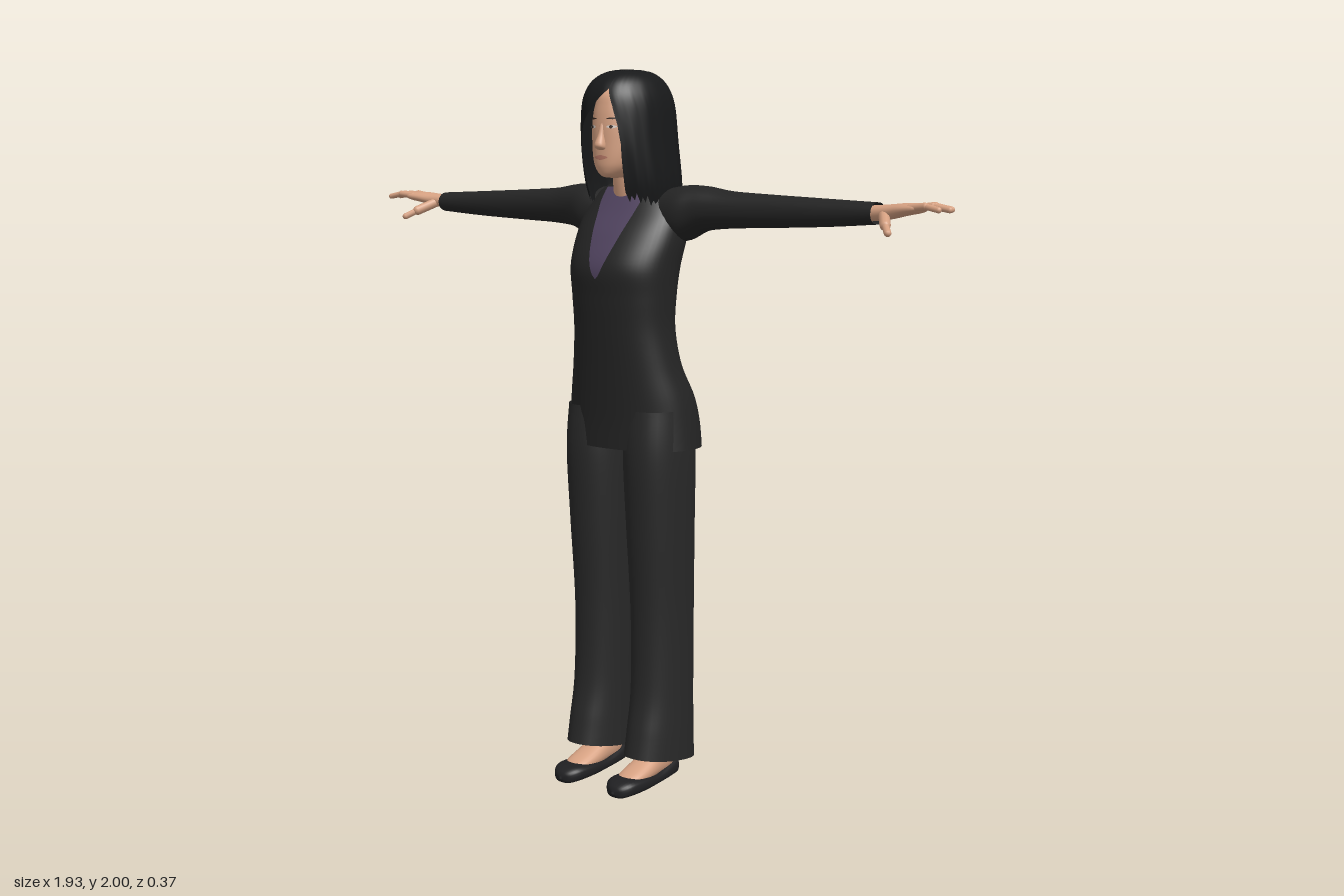
import * as THREE from 'three';

const material = (name, color, side = THREE.FrontSide) => {
  const m = new THREE.MeshStandardMaterial({ color, side });
  m.name = name;
  return m;
};

// Surface from fn(u, v) -> [x, y, z]; u runs left to right, v runs downwards
function grid(fn, nu, nv, closed = false) {
  const pos = [], index = [], cols = closed ? nu : nu + 1;
  for (let j = 0; j <= nv; j++)
    for (let i = 0; i < cols; i++) pos.push(...fn(i / nu, j / nv));
  for (let j = 0; j < nv; j++)
    for (let i = 0; i < nu; i++) {
      const k = (i + 1) % cols, a = j * cols + i, c = j * cols + k;
      index.push(a, a + cols, c + cols, a, c + cols, c);
    }
  const g = new THREE.BufferGeometry();
  g.setAttribute('position', new THREE.Float32BufferAttribute(pos, 3));
  g.setIndex(index);
  g.computeVertexNormals();
  return g;
}

// Cross-section keys are [height, half width, front, back, centre x], top to bottom
function sample(keys, t) {
  const n = keys.length - 1, s = Math.min(t * n, n - 1e-6), i = Math.floor(s), f = s - i;
  const k = (j) => keys[Math.max(0, Math.min(n, j))];
  return [0, 1, 2, 3, 4].map((c) => {
    const [a, b, d, e] = [k(i - 1), k(i), k(i + 1), k(i + 2)].map((r) => r[c] ?? 0);
    return b + 0.5 * f * (d - a + f * (2 * a - 5 * b + 4 * d - e + f * (3 * (b - d) + e - a)));
  });
}

function rowAt(keys, y) {
  let lo = 0, hi = 1;
  for (let i = 0; i < 24; i++) {
    const mid = (lo + hi) / 2;
    if (sample(keys, mid)[0] > y) lo = mid; else hi = mid;
  }
  return sample(keys, hi);
}

const P = 2.2;
const bend = (s, p) => Math.sign(s) * Math.abs(s) ** (2 / p);
function sectionPoint([y, hx, zf, zb, cx], phi, p = P) {
  return [cx + hx * bend(Math.sin(phi), p), y, (zf + zb) / 2 + ((zf - zb) / 2) * bend(Math.cos(phi), p)];
}

const loft = (keys, nu = 40, nv = 36, p = P) =>
  grid((u, v) => sectionPoint(sample(keys, v), u * Math.PI * 2, p), nu, nv, true);

// Thin plate lying on the front of a lofted body
function patch(keys, top, bottom, left, right, lift, nv = 8) {
  return grid((u, v) => {
    const y = top + (bottom - top) * v, x = left(v) + (right(v) - left(v)) * u;
    const [, hx, zf, zb] = rowAt(keys, y);
    const q = Math.max(0, 1 - Math.min(1, Math.abs(x) / hx) ** P) ** (1 / P);
    return [x, y, (zf + zb) / 2 + ((zf - zb) / 2) * q + lift];
  }, 10, nv);
}
const oval = (keys, x, y, w, h, lift) => patch(keys, y + h, y - h,
  (v) => x - w * Math.sin(Math.PI * v), (v) => x + w * Math.sin(Math.PI * v), lift);

function limb(from, to, radius) {
  const a = new THREE.Vector3(...from), d = new THREE.Vector3(...to).sub(a);
  const g = new THREE.CapsuleGeometry(radius, d.length(), 5, 10);
  g.applyQuaternion(new THREE.Quaternion().setFromUnitVectors(new THREE.Vector3(0, 1, 0), d.clone().normalize()));
  a.addScaledVector(d, 0.5);
  return g.translate(a.x, a.y, a.z);
}

function mirrored(geometry) {
  const g = geometry.clone().scale(-1, 1, 1), a = g.index.array;
  for (let i = 0; i < a.length; i += 3) [a[i], a[i + 1]] = [a[i + 1], a[i]];
  return g;
}

const TORSO = [
  [1.70, 0.07, 0.0, -0.10], [1.67, 0.125, 0.02, -0.13], [1.62, 0.16, 0.052, -0.14],
  [1.55, 0.165, 0.1, -0.135], [1.47, 0.158, 0.138, -0.118], [1.39, 0.152, 0.134, -0.104],
  [1.30, 0.15, 0.125, -0.098], [1.20, 0.164, 0.115, -0.112], [1.11, 0.187, 0.107, -0.153],
  [1.04, 0.198, 0.102, -0.168], [0.97, 0.205, 0.1, -0.17]];
const HEAD = [
  [1.965, 0.01, 0.02, -0.04], [1.94, 0.05, 0.09, -0.09], [1.9, 0.07, 0.108, -0.11],
  [1.85, 0.076, 0.115, -0.115], [1.8, 0.073, 0.116, -0.1], [1.76, 0.062, 0.116, -0.06],
  [1.735, 0.048, 0.113, -0.03], [1.715, 0.025, 0.102, 0.0], [1.71, 0.004, 0.07, 0.04]];
const HAIR = [
  [2.0, 0.002, 0.0, -0.01], [1.996, 0.04, 0.05, -0.07], [1.98, 0.073, 0.092, -0.103],
  [1.95, 0.096, 0.122, -0.13], [1.9, 0.111, 0.137, -0.147], [1.8, 0.118, 0.134, -0.157],
  [1.7, 0.122, 0.112, -0.167], [1.63, 0.112, 0.09, -0.176], [1.53, 0.095, 0.07, -0.182]];

// Hair parts around the face: [height, right edge, left edge]
const PARTING = [[1.945, 0.03, 0.03], [1.9, -0.012, 0.047], [1.85, -0.058, 0.06],
  [1.8, -0.072, 0.066], [1.72, -0.07, 0.064], [1.6, -0.06, 0.058]];
function parting(y) {
  if (y >= PARTING[0][0]) return [0.03, 0.03];
  let i = 0;
  while (i < PARTING.length - 2 && PARTING[i + 1][0] > y) i++;
  const a = PARTING[i], b = PARTING[i + 1], t = Math.min(1, (a[0] - y) / (a[0] - b[0]));
  return [a[1] + (b[1] - a[1]) * t, a[2] + (b[2] - a[2]) * t];
}
function hairPoint(u, v) {
  const around = u * Math.PI * 2, col = Math.round(u * 84);
  const strand = [0.012, -0.014, 0.004, -0.008][col % 4];
  const bottom = 1.61 + 0.05 * Math.cos(around) + strand;
  const y = 2 - (2 - bottom) * v ** 1.4;
  const row = rowAt(HAIR, y), [l, r] = parting(y);
  const edge = (x) => Math.asin(Math.max(-1, Math.min(1, bend(x / row[1], 4 / (P) * 1))));
  const start = edge(r), end = Math.PI * 2 + edge(l);
  const phi = start + (end - start) * u, k = 1 + 0.012 * Math.sin(phi * 17) * v;
  const p = sectionPoint(row, phi);
  return [p[0] * k, y, p[2] * k];
}

export function createModel() {
  const jacket = material('jacket cloth', 0x242424, THREE.DoubleSide);
  const trouser = material('trouser cloth', 0x282828, THREE.DoubleSide);
  const blouse = material('purple blouse', 0x50435f, THREE.DoubleSide);
  const hair = material('black hair', 0x18191a, THREE.DoubleSide);
  const skin = material('skin', 0xd6a182);
  const lip = material('lips', 0xb97a68, THREE.DoubleSide);
  const white = material('eye white', 0xd8cfc8, THREE.DoubleSide);
  const dark = material('brow and iris', 0x3a2a22, THREE.DoubleSide);
  const leather = material('shoe leather', 0x202022, THREE.DoubleSide);

  const model = new THREE.Group();
  model.name = 'standingWoman';
  const add = (name, geometry, mat) => {
    const mesh = new THREE.Mesh(geometry, mat);
    mesh.name = name;
    model.add(mesh);
  };
  const pair = (name, geometry, mat) => {
    add(`${name}Left`, geometry, mat);
    add(`${name}Right`, mirrored(geometry), mat);
  };

  // Jacket with blouse in the neckline
  add('jacketBody', loft(TORSO, 56, 60), jacket);
  const open = (v) => 0.068 * Math.min(1, (1 - v) * 1.2) ** 0.65;
  add('blouse', patch(TORSO, 1.685, 1.44, (v) => -open(v), open, 0.004, 24), blouse);

  // Sleeves, lofted upright then laid out sideways
  pair('sleeve', loft([
    [0.745, 0.028, -0.028, -0.105, -1.628], [0.6, 0.036, -0.028, -0.108, -1.626],
    [0.42, 0.044, -0.02, -0.112, -1.626], [0.3, 0.05, -0.008, -0.12, -1.627],
    [0.22, 0.061, 0.005, -0.13, -1.628], [0.16, 0.075, 0.02, -0.138, -1.615],
    [0.1, 0.07, 0.015, -0.135, -1.61]], 28).rotateZ(-Math.PI / 2), jacket);

  // Hands
  pair('palm', loft([
    [0.882, 0.003, -0.04, -0.08, -1.645], [0.87, 0.012, -0.018, -0.098, -1.644],
    [0.83, 0.016, -0.02, -0.1, -1.64], [0.785, 0.019, -0.032, -0.096, -1.633],
    [0.73, 0.02, -0.042, -0.092, -1.628]], 20, 16).rotateZ(-Math.PI / 2), skin);
  [[0.938, -0.02], [0.956, -0.044], [0.948, -0.07], [0.925, -0.096]].forEach(([x, z], i) => {
    const base = -0.03 - i * 0.019, mid = (0.86 + x) / 2;
    pair(`fingerBase${i + 1}`, limb([0.855, 1.645, base], [mid, 1.65, (base + z) / 2], 0.0095), skin);
    pair(`fingerTip${i + 1}`, limb([mid, 1.65, (base + z) / 2], [x, 1.642, z], 0.008), skin);
  });
  pair('thumbBase', limb([0.775, 1.625, -0.045], [0.805, 1.602, 0.002], 0.014), skin);
  pair('thumbTip', limb([0.805, 1.602, 0.002], [0.828, 1.585, 0.03], 0.0095), skin);

  // Trouser legs with a hem that drops towards the heel
  const leg = loft([
    [1.08, 0.085, 0.09, -0.125, 0.1], [0.95, 0.088, 0.1, -0.13, 0.101],
    [0.75, 0.084, 0.088, -0.13, 0.101], [0.5, 0.077, 0.072, -0.134, 0.101],
    [0.28, 0.075, 0.076, -0.134, 0.103], [0.15, 0.076, 0.098, -0.137, 0.104],
    [0.075, 0.077, 0.112, -0.142, 0.104]], 36, 40);
  const p = leg.attributes.position;
  for (let i = 0; i < p.count; i++)
    p.setY(i, p.getY(i) + 0.22 * p.getZ(i) * Math.max(0, 1 - p.getY(i) / 0.4));
  leg.computeVertexNormals();
  pair('trouserLeg', leg, trouser);

  // Feet and slip-on shoes, lofted upright then laid forwards
  pair('foot', loft([
    [0.15, 0.02, -0.02, -0.04, 0.095], [0.12, 0.036, -0.015, -0.054, 0.095],
    [0.06, 0.04, -0.015, -0.075, 0.095], [0.0, 0.035, -0.015, -0.1, 0.095],
    [-0.05, 0.033, -0.015, -0.13, 0.095], [-0.08, 0.015, -0.02, -0.12, 0.095]], 24, 20)
    .rotateX(Math.PI / 2), skin);
  pair('shoe', loft([
    [0.19, 0.004, -0.012, -0.02, 0.095], [0.18, 0.028, 0, -0.035, 0.095],
    [0.15, 0.047, 0, -0.046, 0.095], [0.09, 0.051, 0, -0.043, 0.095],
    [0.02, 0.044, 0, -0.034, 0.095], [-0.05, 0.038, 0, -0.045, 0.095],
    [-0.085, 0.028, 0, -0.05, 0.095], [-0.095, 0.003, -0.01, -0.03, 0.095]], 28, 32, 2.9)
    .rotateX(Math.PI / 2), leather);

  // Head and neck
  add('head', loft(HEAD), skin);
  add('neck', loft([[1.79, 0.045, 0.045, -0.07], [1.7, 0.044, 0.038, -0.07], [1.6, 0.055, 0.02, -0.09]], 24, 12), skin);
  add('nose', loft([
    [1.855, 0.006, 0.116, 0.1], [1.825, 0.009, 0.125, 0.1], [1.798, 0.015, 0.137, 0.1],
    [1.787, 0.012, 0.127, 0.1], [1.784, 0.002, 0.115, 0.105]], 16, 16), skin);

  // Face details
  pair('eyeWhite', oval(HEAD, 0.031, 1.846, 0.013, 0.005, 0.003), white);
  pair('iris', oval(HEAD, 0.031, 1.846, 0.005, 0.005, 0.005), dark);
  pair('eyebrow', oval(HEAD, 0.032, 1.868, 0.017, 0.0025, 0.003), dark);
  add('lips', oval(HEAD, 0, 1.765, 0.022, 0.007, 0.004), lip);

  // Long parted hair
  add('hair', grid(hairPoint, 84, 40), hair);
  return model;
}
